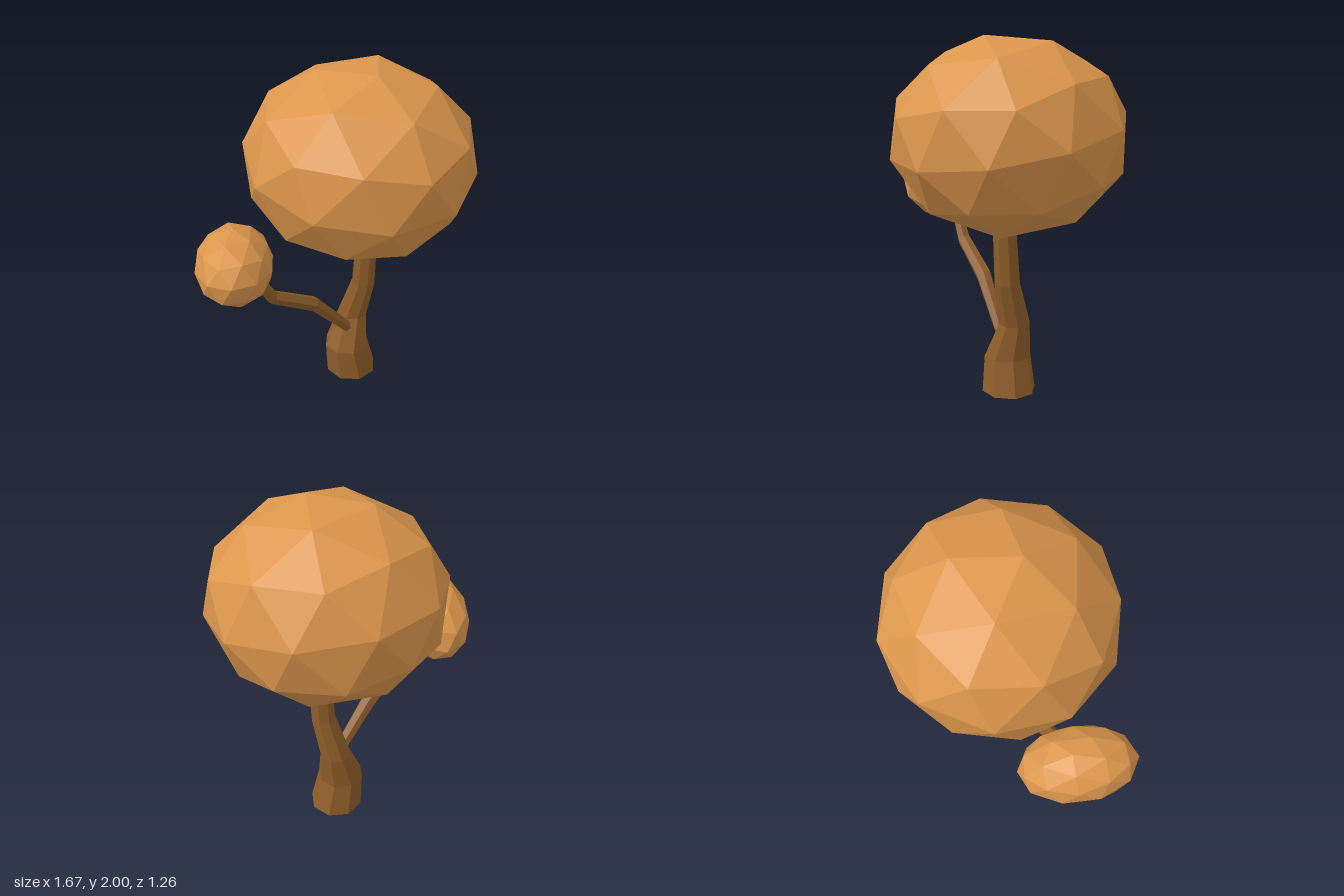
import * as THREE from 'three';

const rad = THREE.MathUtils.degToRad;

// Faceted ball with a vertex at its top pole
function ball() {
  return new THREE.IcosahedronGeometry(1, 1).rotateX(-Math.atan((1 + Math.sqrt(5)) / 2));
}

// Tapered limb through [x, y, z, radius] sections; level keeps the rings horizontal
function limb(sections, sides, level) {
  const points = sections.map(([x, y, z]) => new THREE.Vector3(x, y, z));
  const up = new THREE.Vector3(0, 1, 0);
  const positions = [];
  const index = [];
  const last = sections.length - 1;
  sections.forEach((section, i) => {
    const dir = points[Math.min(i + 1, last)].clone().sub(points[Math.max(i - 1, 0)]).normalize();
    const turn = new THREE.Quaternion();
    if (!level) turn.setFromUnitVectors(up, dir);
    for (let j = 0; j < sides; j++) {
      const a = ((j + 0.5) / sides) * Math.PI * 2;
      const p = new THREE.Vector3(Math.cos(a), 0, -Math.sin(a))
        .multiplyScalar(section[3]).applyQuaternion(turn).add(points[i]);
      positions.push(p.x, p.y, p.z);
      if (i < last) {
        const b = i * sides + j;
        const c = i * sides + (j + 1) % sides;
        index.push(b, c, c + sides, b, c + sides, b + sides);
      }
    }
  });
  // End caps
  for (let j = 1; j < sides - 1; j++) {
    const t = last * sides;
    index.push(0, j + 1, j, t, t + j, t + j + 1);
  }
  const geometry = new THREE.BufferGeometry();
  geometry.setAttribute('position', new THREE.Float32BufferAttribute(positions, 3));
  geometry.setIndex(index);
  return geometry;
}

export function createModel() {
  const tree = new THREE.Group();
  tree.name = 'tree';
  const foliage = new THREE.MeshStandardMaterial({ color: 0xdc964c, flatShading: true });
  foliage.name = 'orange foliage';
  const bark = new THREE.MeshStandardMaterial({ color: 0x8f5e2a, flatShading: true });
  bark.name = 'brown bark';

  const add = (name, geometry, material) => {
    const flat = geometry.index ? geometry.toNonIndexed() : geometry;
    flat.computeVertexNormals();
    const mesh = new THREE.Mesh(flat, material);
    mesh.name = name;
    tree.add(mesh);
  };

  // Main crown: tilted a little to the front, then flattened
  const tilt = new THREE.Matrix4().makeRotationAxis(
    new THREE.Vector3(Math.cos(rad(9)), 0, Math.sin(rad(9))), rad(13.3));
  add('mainCrown', ball().rotateY(rad(-10)).applyMatrix4(tilt)
    .scale(0.65, 0.545, 0.655).translate(0.19, 1.47, 0), foliage);

  // Small crown: long ball lying across the branch tip
  add('smallCrown', ball().scale(0.335, 0.207, 0.215).rotateZ(rad(10)).rotateY(rad(-129))
    .translate(-0.575, 1.033, -0.163), foliage);

  // Trunk with a flared foot
  add('trunk', limb([
    [0.165, 0, -0.025, 0.154],
    [0.135, 0.2, -0.037, 0.134],
    [0.19, 0.4, -0.043, 0.09],
    [0.212, 0.65, 0.024, 0.072],
    [0.212, 0.95, 0.043, 0.066],
    [0.212, 1.08, 0.045, 0.062],
  ], 8, true), bark);

  // Crooked side branch
  add('branch', limb([
    [0.11, 0.345, -0.005, 0.035],
    [-0.12, 0.605, -0.05, 0.046],
    [-0.385, 0.76, -0.09, 0.04],
    [-0.455, 0.88, -0.098, 0.034],
    [-0.5, 0.95, -0.11, 0.03],
  ], 6, false), bark);

  return tree;
}
